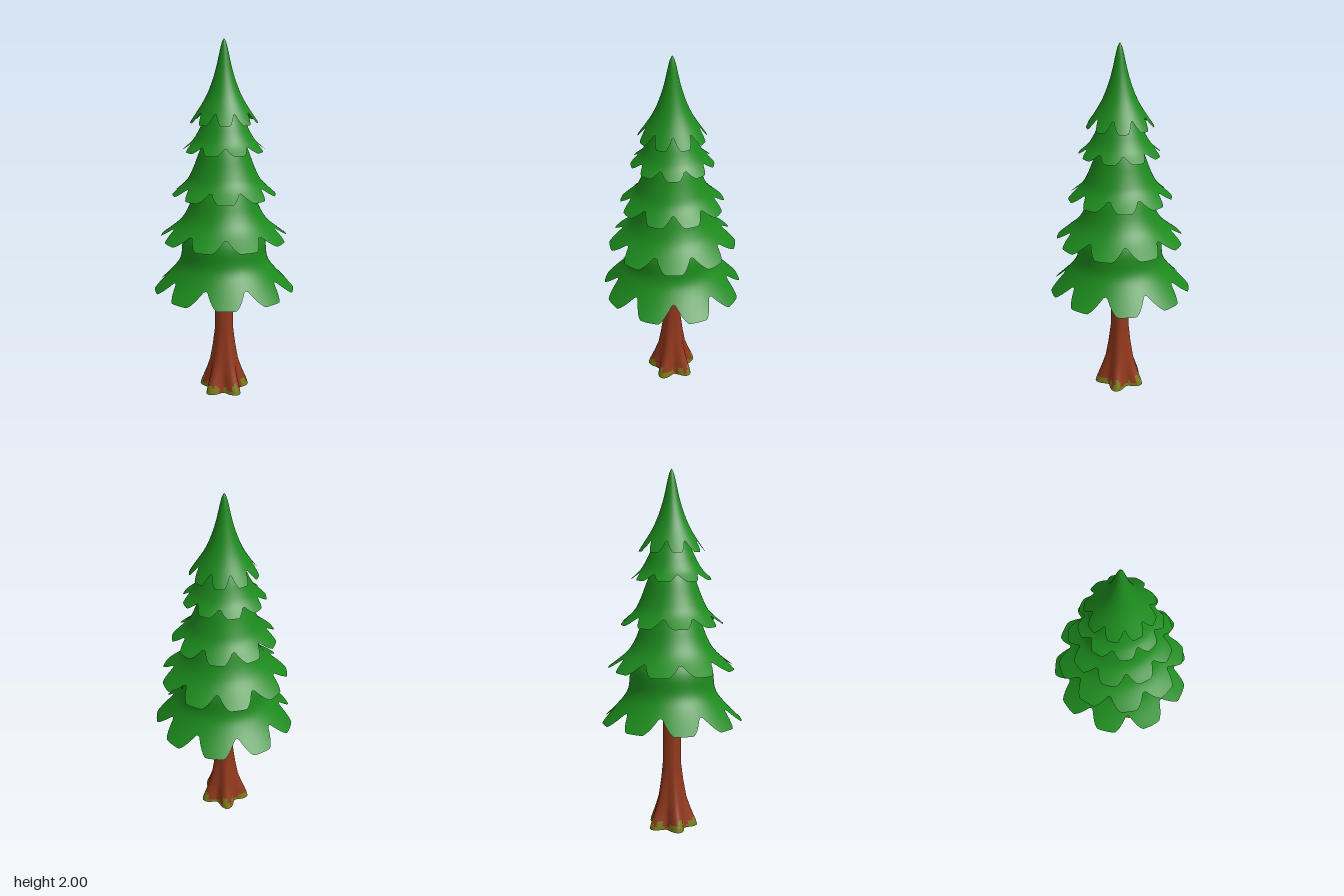
import * as THREE from 'three';

const needles = new THREE.MeshStandardMaterial({ color: 0x1c8a1d, side: THREE.DoubleSide });
needles.name = 'needle green';
const bark = new THREE.MeshStandardMaterial({ color: 0x92381c, side: THREE.DoubleSide });
bark.name = 'bark brown';
const moss = new THREE.MeshStandardMaterial({ color: 0x7a7c16, side: THREE.DoubleSide });
moss.name = 'moss olive';

// Closed tube of rings, top row first; point(row, angle) gives [radius, y].
// pick(row, column) chooses the material group of each quad.
function ringSurface(rows, cols, point, pick = () => 0) {
  const positions = [];
  const groups = [[], []];
  for (let j = 0; j <= rows; j++) {
    for (let i = 0; i < cols; i++) {
      const angle = (i / cols) * Math.PI * 2;
      const [r, y] = point(j, angle);
      positions.push(r * Math.sin(angle), y, r * Math.cos(angle));
    }
  }
  for (let j = 0; j < rows; j++) {
    for (let i = 0; i < cols; i++) {
      const a = j * cols + i;
      const b = j * cols + ((i + 1) % cols);
      groups[pick(j, i)].push(a, a + cols, b, b, a + cols, b + cols);
    }
  }
  const geometry = new THREE.BufferGeometry();
  geometry.setAttribute('position', new THREE.Float32BufferAttribute(positions, 3));
  geometry.setIndex([...groups[0], ...groups[1]]);
  geometry.addGroup(0, groups[0].length, 0);
  geometry.addGroup(groups[0].length, groups[1].length, 1);
  geometry.computeVertexNormals();
  return geometry;
}

// Signed position inside a lobe: 0 at its middle, 1 at the gap beside it
function lobePosition(angle, lobes, offset) {
  const u = (angle / (Math.PI * 2)) * lobes + offset;
  return Math.abs(u - Math.round(u)) * 2;
}

// Flared skirt of branches whose lower edge is cut into blunt, tapering lobes
const LOBES = 9;
function branchTier({ profile, offset, cut }) {
  const curve = new THREE.SplineCurve(profile.map(([r, y]) => new THREE.Vector2(r, y)));
  const rows = 18;
  return ringSurface(rows, LOBES * 20, (j, angle) => {
    const u = lobePosition(angle, LOBES, offset);
    const notch = THREE.MathUtils.clamp((u - 0.38) / 0.55, 0, 1);
    const p = curve.getPoint((j / rows) * (1 - cut * notch));
    return [p.x, p.y];
  });
}

// Each tier is turned by half a lobe against the one below
const tiers = [
  { name: 'bottomBranches', offset: 0, cut: 0.2,
    profile: [[0.16, 1.04], [0.225, 0.92], [0.243, 0.8], [0.295, 0.72], [0.392, 0.622]] },
  { name: 'lowerBranches', offset: 0.5, cut: 0.18,
    profile: [[0.12, 1.27], [0.165, 1.17], [0.205, 1.07], [0.255, 1.0], [0.352, 0.922]] },
  { name: 'middleBranches', offset: 0, cut: 0.18,
    profile: [[0.09, 1.49], [0.13, 1.41], [0.168, 1.31], [0.208, 1.235], [0.284, 1.167]] },
  { name: 'upperBranches', offset: 0.5, cut: 0.2,
    profile: [[0.07, 1.64], [0.115, 1.56], [0.145, 1.5], [0.175, 1.455], [0.222, 1.412]] },
  { name: 'topBranches', offset: 0, cut: 0.13,
    profile: [[0.001, 2], [0.016, 1.965], [0.05, 1.82], [0.1, 1.69], [0.182, 1.562]] },
];

// Trunk rows: height, radius in the valleys, radius along the roots
const trunkRows = [
  [0.8, 0.05, 0.05], [0.37, 0.05, 0.053], [0.27, 0.059, 0.066], [0.17, 0.07, 0.084],
  [0.11, 0.077, 0.105], [0.08, 0.081, 0.117], [0.065, 0.083, 0.123], [0.05, 0.085, 0.129],
  [0.035, 0.087, 0.136], [0.018, 0.09, 0.142], [0, 0.092, 0.146],
];
const ROOTS = 5;
const TRUNK_COLS = 60;

function trunkPoint(j, angle) {
  const [y, valley, root] = trunkRows[j];
  const u = lobePosition(angle, ROOTS, 0);
  const blend = 0.5 + 0.5 * Math.cos(u * Math.PI);
  return [THREE.MathUtils.lerp(valley, root, blend), y];
}

// Moss climbs the root tips in ragged patches
function isMoss(j, i) {
  const u = lobePosition(((i + 0.5) / TRUNK_COLS) * Math.PI * 2, ROOTS, 0);
  const ragged = 0.018 * Math.sin(Math.floor(i / 2) * 2.7);
  return trunkRows[j][0] <= 0.06 - 0.04 * u + ragged ? 1 : 0;
}

export function createModel() {
  const model = new THREE.Group();
  model.name = 'pineTree';

  // Hollow trunk, open below
  const trunk = new THREE.Mesh(
    ringSurface(trunkRows.length - 1, TRUNK_COLS, trunkPoint, isMoss), [bark, moss]);
  trunk.name = 'trunk';
  model.add(trunk);

  for (const tier of tiers) {
    const mesh = new THREE.Mesh(branchTier(tier), needles);
    mesh.name = tier.name;
    model.add(mesh);
  }

  // Underside that closes the bottom tier around the trunk
  const underside = new THREE.Mesh(new THREE.RingGeometry(0.045, 0.278, 48), needles);
  underside.name = 'branchUnderside';
  underside.rotation.x = Math.PI / 2;
  underside.position.y = 0.74;
  model.add(underside);
  return model;
}
